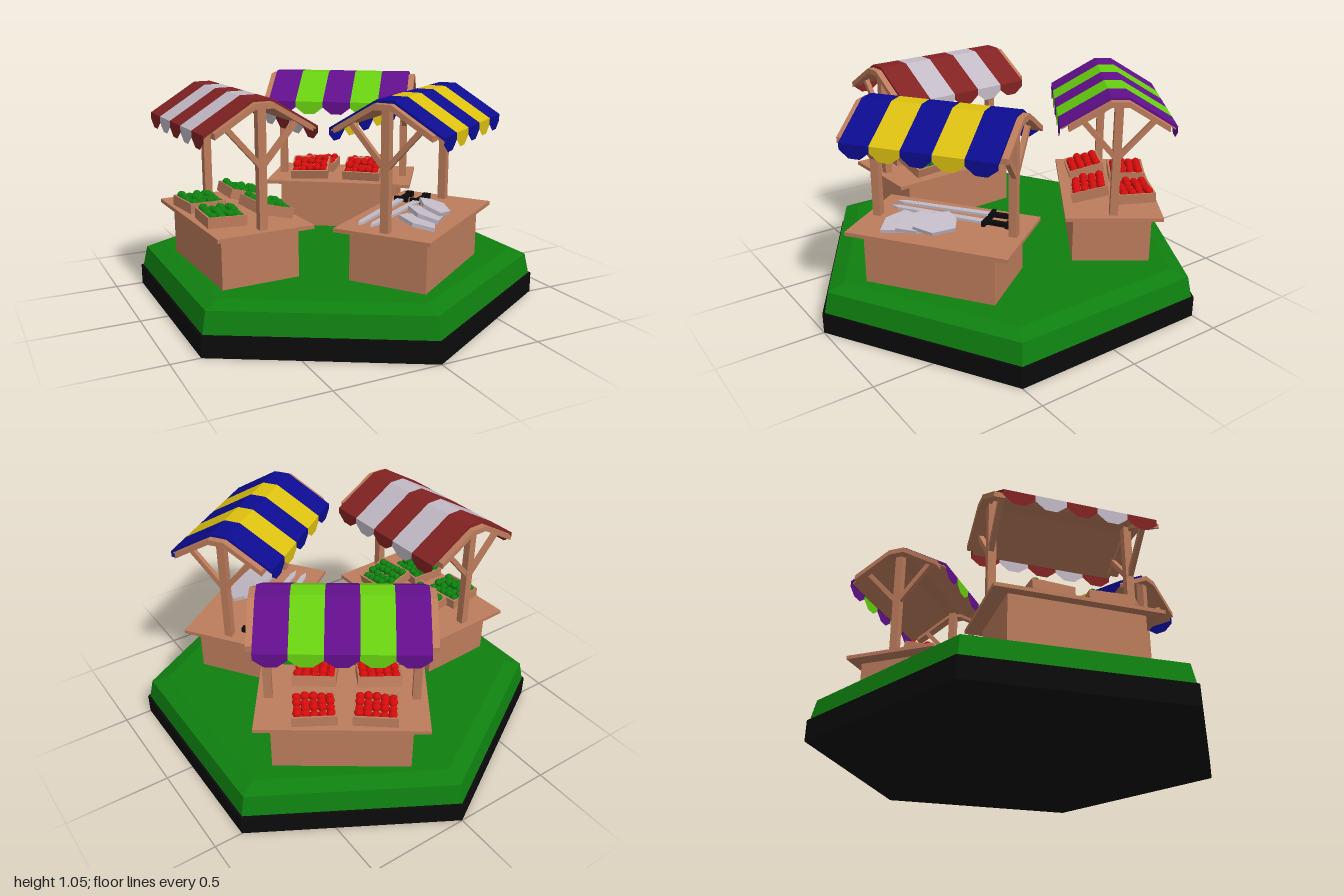
import * as THREE from 'three';

const mat = (name, color) => {
  const m = new THREE.MeshStandardMaterial({ color, flatShading: true, side: THREE.DoubleSide });
  m.name = name;
  return m;
};

export function createModel() {
  const M = {
    black: mat('black', 0x0b0b0b), green: mat('green', 0x0f8010), wood: mat('wood', 0xbc7c5c),
    darkRed: mat('darkRed', 0x822222), pale: mat('pale', 0xc2bac6), purple: mat('purple', 0x620f8c),
    lime: mat('lime', 0x68d010), blue: mat('blue', 0x0c0c90), yellow: mat('yellow', 0xdcc010),
    red: mat('red', 0xd40c0c),
  };
  const model = new THREE.Group();
  model.name = 'marketSquare';

  const add = (parent, name, geo, material, x = 0, y = 0, z = 0) => {
    const m = new THREE.Mesh(geo, material);
    m.name = name;
    m.position.set(x, y, z);
    parent.add(m);
    return m;
  };
  const box = (parent, name, material, w, h, d, x, y, z) =>
    add(parent, name, new THREE.BoxGeometry(w, h, d), material, x, y, z);
  const shapeOf = pts => new THREE.Shape(pts.map(p => new THREE.Vector2(...p)));
  const extrude = (pts, depth) => new THREE.ExtrudeGeometry(shapeOf(pts), { depth, bevelEnabled: false });

  // Hexagonal ground
  const hex = (name, material, rTop, rBottom, y0, y1) =>
    add(model, name, new THREE.CylinderGeometry(rTop, rBottom, y1 - y0, 6), material, 0, (y0 + y1) / 2, 0);
  hex('groundBase', M.black, 1, 1, 0, 0.1);
  hex('grassSide', M.green, 0.965, 0.988, 0.1, 0.2);
  hex('grassTop', M.green, 0.88, 0.965, 0.2, 0.225);

  // Ridge-shaped slab across local z, running along local x
  const EAVE = 0.92, RIDGE = 1.055, HALF = 0.263;
  const ridgeSlab = (half, drop, thick, x0, length) => {
    const yEnd = EAVE + (RIDGE - EAVE) * (HALF - half) / (HALF - 0.04) - drop;
    const top = [[-half, yEnd], [-0.04, RIDGE - drop], [0.04, RIDGE - drop], [half, yEnd]];
    const under = top.map(([a, b]) => [a, b - thick]).reverse();
    return extrude([...top, ...under], length).rotateY(Math.PI / 2).translate(x0, 0, 0);
  };

  // Striped canopy with pointed valance tabs
  function canopy(stall, colorA, colorB) {
    const w = 0.144;
    for (let i = 0; i < 5; i++) {
      const x0 = -0.36 + i * w, m = i % 2 ? colorB : colorA;
      add(stall, 'canopyStripe', ridgeSlab(HALF, 0, 0.012, x0, w), m);
      const tab = new THREE.ShapeGeometry(shapeOf([
        [0, 0], [0, -0.03], [0.045, -0.065], [w - 0.045, -0.065], [w, -0.03], [w, 0]]));
      for (const s of [-1, 1]) add(stall, 'valanceTab', tab, m, x0, EAVE, s * HALF);
    }
    add(stall, 'canopyLining', ridgeSlab(0.255, 0.013, 0.008, -0.355, 0.71), M.wood);
  }

  function makeStall(name, x, z, angle, colorA, colorB) {
    const stall = new THREE.Group();
    stall.name = name;
    stall.position.set(x, 0, z);
    stall.rotation.y = angle;
    model.add(stall);
    box(stall, 'stallBody', M.wood, 0.63, 0.245, 0.37, 0, 0.3425, 0);
    box(stall, 'counterTop', M.wood, 0.774, 0.018, 0.456, 0, 0.473, 0);
    canopy(stall, colorA, colorB);
    for (const s of [-1, 1]) {
      box(stall, 'post', M.wood, 0.038, 0.56, 0.038, s * 0.335, 0.755, 0);
      add(stall, 'rafter', ridgeSlab(0.225, 0.014, 0.026, s * 0.365 - 0.025, 0.05), M.wood);
      for (const t of [-1, 1]) {
        const brace = box(stall, 'brace', M.wood, 0.024, 0.24, 0.024, s * 0.34, 0.855, t * 0.085);
        brace.rotation.x = t * 0.72;
      }
    }
    return stall;
  }

  // Open crate filled with round produce
  const fruit = new THREE.IcosahedronGeometry(0.021, 1);
  function crate(stall, material, x, y, z, tilt, yaw) {
    const g = new THREE.Group();
    g.name = 'produceCrate';
    g.position.set(x, y, z);
    g.rotation.set(tilt, yaw, 0);
    stall.add(g);
    const W = 0.2, D = 0.18, H = 0.048, t = 0.01;
    box(g, 'crateFloor', M.wood, W, t, D, 0, t / 2, 0);
    for (const s of [-1, 1]) {
      box(g, 'crateLongWall', M.wood, W, H, t, 0, H / 2, s * (D - t) / 2);
      box(g, 'crateShortWall', M.wood, t, H, D - 2 * t, s * (W - t) / 2, H / 2, 0);
    }
    for (let i = 0; i < 5; i++) for (let j = 0; j < 4; j++) {
      const lift = 0.007 * Math.sin(i * 5.1 + j * 3.7);
      add(g, 'produce', fruit, material, (i - 2) * 0.037, 0.043 + lift, (j - 1.5) * 0.04);
    }
  }
  function fillWithCrates(stall, material) {
    crate(stall, material, -0.165, 0.51, 0.09, 0.27, 0.06);
    crate(stall, material, 0.125, 0.51, 0.09, 0.27, -0.05);
    crate(stall, material, -0.15, 0.486, -0.12, 0.04, -0.06);
    crate(stall, material, 0.125, 0.486, -0.12, 0.04, 0.08);
  }

  fillWithCrates(makeStall('vegetableStall', -0.543, 0.035, 1.612, M.darkRed, M.pale), M.green);
  fillWithCrates(makeStall('fruitStall', 0.28, -0.44, -0.611, M.purple, M.lime), M.red);
  const smith = makeStall('weaponStall', 0.2, 0.46, 0.611, M.blue, M.yellow);

  // Swords lying along the counter
  [[-0.15, 0.02], [-0.075, -0.03]].forEach(([z, yaw]) => {
    const sword = new THREE.Group();
    sword.name = 'sword';
    sword.position.set(0, 0.486, z);
    sword.rotation.y = yaw;
    smith.add(sword);
    const blade = extrude([[0.17, -0.017], [0.17, 0.017], [-0.27, 0.014], [-0.31, 0], [-0.27, -0.014]], 0.012);
    add(sword, 'blade', blade.rotateX(-Math.PI / 2), M.pale);
    box(sword, 'crossGuard', M.black, 0.018, 0.024, 0.07, 0.175, 0.008, 0);
    box(sword, 'grip', M.black, 0.1, 0.02, 0.022, 0.23, 0.008, 0);
    box(sword, 'pommel', M.black, 0.026, 0.026, 0.036, 0.287, 0.009, 0);
  });

  // Overlapping pile of shields
  const shield = extrude([[-0.06, 0.075], [0, 0.095], [0.06, 0.075], [0.065, -0.03], [0, -0.105], [-0.065, -0.03]], 0.018)
    .rotateX(-Math.PI / 2);
  [[-0.18, 0.492, -0.5], [-0.095, 0.506, -0.7], [0.0, 0.517, -0.95]].forEach(([x, y, yaw], i) => {
    const m = add(smith, 'shield', shield, M.pale, x, y, 0.09);
    m.rotation.set(0.12, yaw, -0.08 - 0.05 * i);
  });

  return model;
}
